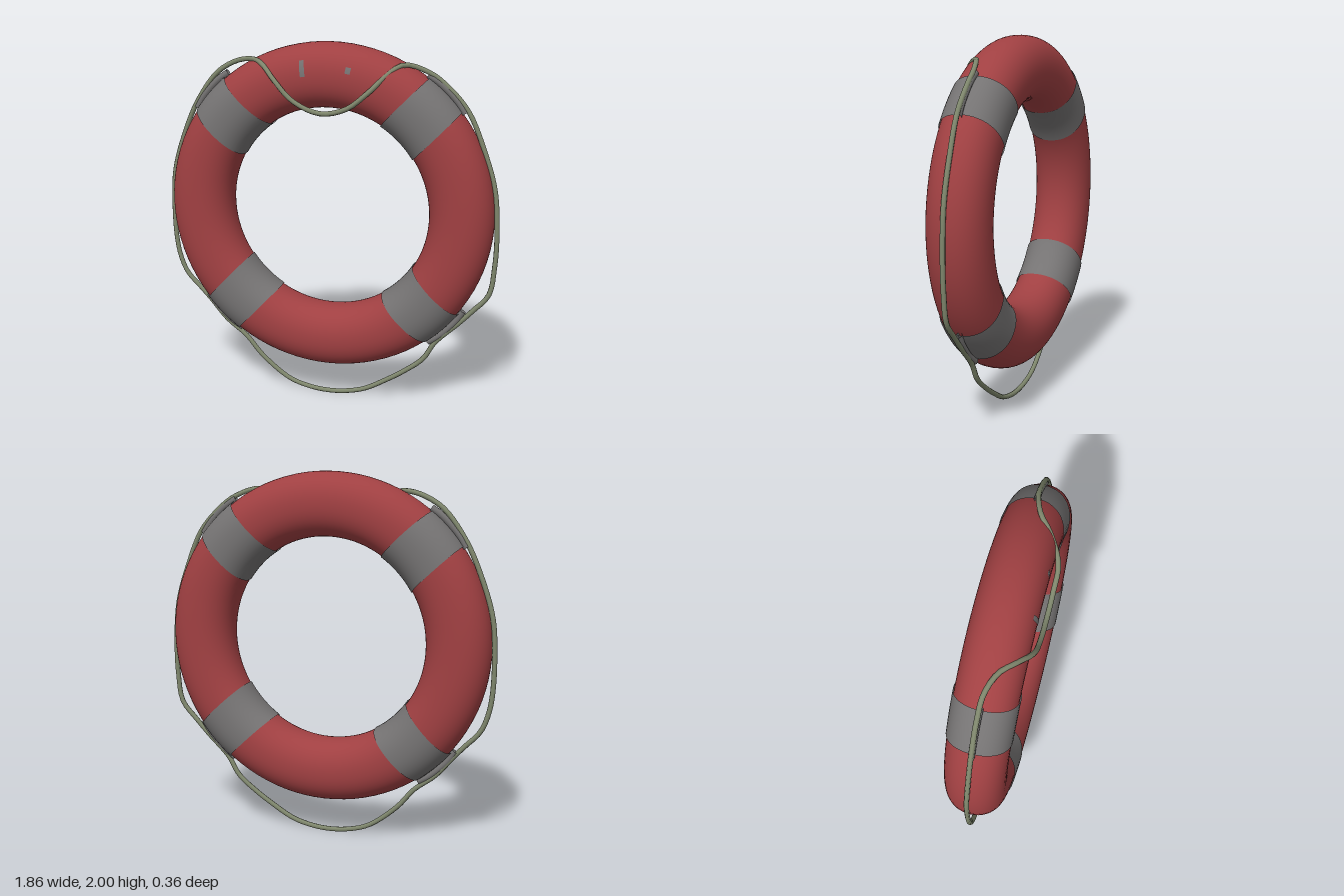
import * as THREE from 'three';
import { ParametricGeometry } from 'three/addons/geometries/ParametricGeometry.js';

const CY = 1.1, CZ = -0.0175;       // ring centre
const R = 0.7275, A = 0.1725, B = 0.158; // ring radius, tube half width and half depth
const rad = THREE.MathUtils.degToRad;

const material = (name, color, side = THREE.FrontSide) => {
  const m = new THREE.MeshStandardMaterial({ color, side });
  m.name = name;
  return m;
};

// Slightly squared ellipse for the tube section
const soft = (c) => Math.sign(c) * Math.pow(Math.abs(c), 0.92);

// Piece of the ring's skin; angleAt(u, r) gives the ring angle, p0..p1 the tube angle
function ringSkin(angleAt, p0, p1, lift, slices, stacks) {
  return new ParametricGeometry((u, v, target) => {
    const p = p0 + (p1 - p0) * v;
    const r = R + (A + lift) * soft(Math.cos(p));
    const t = angleAt(u, r);
    target.set(r * Math.cos(t), CY + r * Math.sin(t), CZ + (B + lift) * soft(Math.sin(p)));
  }, slices, stacks);
}

// Half of the hanging rope as [x, y, z], and the other half in order
const Z = -0.017;
const ropePoints = [
  [0, 1.65, 0.164], [-0.15, 1.71, 0.164], [-0.25, 1.81, 0.155], [-0.33, 1.88, 0.1],
  [-0.41, 1.9, 0.03], [-0.52, 1.88, -0.012], [-0.63, 1.815, Z], [-0.75, 1.655, Z],
  [-0.835, 1.47, Z], [-0.9, 1.26, Z], [-0.915, 1.07, Z], [-0.91, 0.86, Z],
  [-0.89, 0.745, Z], [-0.85, 0.65, Z], [-0.77, 0.565, Z], [-0.71, 0.5, Z],
  [-0.61, 0.385, Z], [-0.5, 0.3, Z], [-0.4, 0.185, Z], [-0.24, 0.063, Z],
  [-0.12, 0.025, Z], [0, 0.014, Z], [0.11, 0.025, Z], [0.21, 0.053, Z],
  [0.33, 0.12, Z], [0.43, 0.185, Z], [0.54, 0.275, Z], [0.6, 0.375, Z],
  [0.725, 0.5, Z], [0.8, 0.58, Z], [0.885, 0.68, Z], [0.91, 0.835, Z],
  [0.915, 1.02, Z], [0.895, 1.26, Z], [0.83, 1.47, Z], [0.74, 1.67, Z],
  [0.62, 1.8, Z], [0.54, 1.857, -0.012], [0.42, 1.9, 0.03], [0.355, 1.87, 0.09],
  [0.25, 1.765, 0.16], [0.14, 1.68, 0.164],
];

export function createModel() {
  const group = new THREE.Group();
  const red = material('red foam', 0xa04042);
  const grey = material('grey tape', 0x757373, THREE.DoubleSide);
  const green = material('rope green', 0x7f876d);

  const add = (name, geometry, mat) => {
    const mesh = new THREE.Mesh(geometry, mat);
    mesh.name = name;
    group.add(mesh);
    return mesh;
  };

  // Buoyant ring
  add('ring', ringSkin((u) => u * Math.PI * 2, 0, Math.PI * 2, 0, 96, 48), red);

  // Tape bands with parallel edges, each with a sleeve holding the rope
  const bands = { upperLeft: 46, upperRight: 137, lowerRight: 226.8, lowerLeft: 316.5 };
  for (const [place, degrees] of Object.entries(bands)) {
    const mid = rad(degrees);
    const across = (u, r) => mid + Math.asin((2 * u - 1) * 0.122 / r);
    add(`${place}Band`, ringSkin(across, 0, Math.PI * 2, 0.006, 10, 48), grey);

    const arc = [-8.6, -4.5, 0, 4.5, 8.6].map((d, i) => {
      const t = mid + rad(d), r = [0.914, 0.921, 0.922, 0.921, 0.914][i];
      return new THREE.Vector3(r * Math.cos(t), CY + r * Math.sin(t), 0);
    });
    const sleeve = new THREE.TubeGeometry(new THREE.CatmullRomCurve3(arc), 12, 0.019, 10);
    add(`${place}RopeSleeve`, sleeve.scale(1, 1, 0.85), grey).position.z = Z;
  }

  // Grab rope
  const path = new THREE.CatmullRomCurve3(ropePoints.map((p) => new THREE.Vector3(...p)), true);
  add('grabRope', new THREE.TubeGeometry(path, 168, 0.0135, 8, true), green);

  // Small worn marks on the front near the top
  const mark = (name, x, y, halfWidth, p0, p1) => {
    const mid = Math.atan2(y - CY, x);
    const across = (u, r) => mid + (2 * u - 1) * halfWidth / r;
    add(name, ringSkin(across, rad(p0), rad(p1), 0.003, 3, 6), grey);
  };
  mark('longMark', -0.105, 1.87, 0.013, 59, 87);
  mark('shortMark', 0.14, 1.87, 0.014, 67, 78);

  return group;
}
